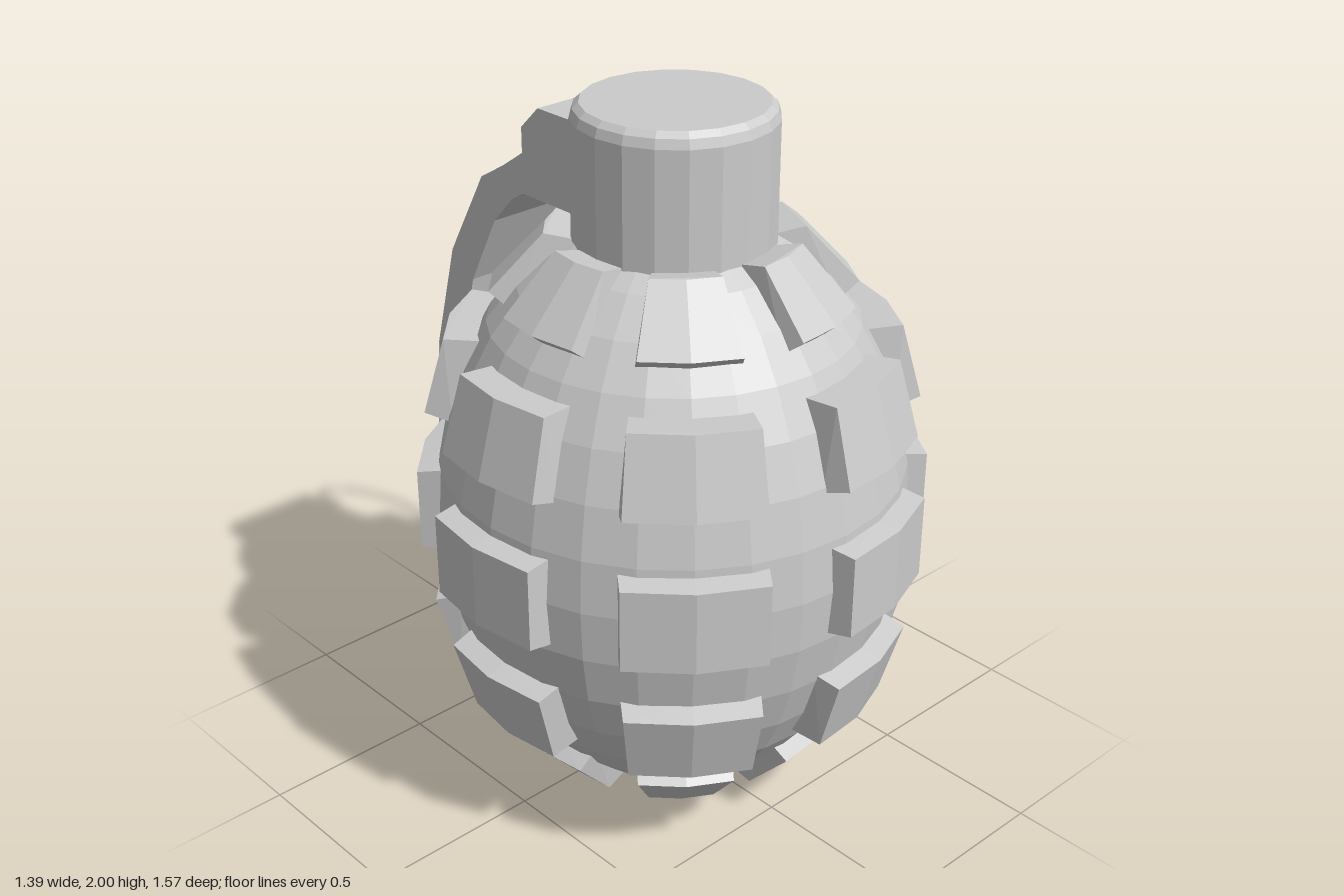
import * as THREE from 'three';
import { ConvexGeometry } from 'three/addons/geometries/ConvexGeometry.js';

const AXIS_Z = 0.083; // the body sits slightly forward of the lever
const MID_Y = 0.86;
const rad = THREE.MathUtils.degToRad;

export function createModel() {
  const model = new THREE.Group();
  model.name = 'grenade';
  const material = new THREE.MeshStandardMaterial({ color: 0xcccccc, flatShading: true });

  const add = (name, geometry, parent = model) => {
    const mesh = new THREE.Mesh(geometry, material);
    mesh.name = name;
    parent.add(mesh);
    return mesh;
  };

  // Egg-shaped body
  const body = add('body', new THREE.SphereGeometry(1, 28, 18).scale(0.65, 0.855, 0.65));
  body.position.set(0, MID_Y, AXIS_Z);

  // Neck with a chamfered cap
  const neckProfile = [[0.27, 1.56], [0.27, 1.96], [0.262, 1.985], [0.245, 2], [0, 2]]
    .map(([r, y]) => new THREE.Vector2(r, y));
  add('neck', new THREE.LatheGeometry(neckProfile, 20)).position.z = AXIS_Z;

  // Raised blocks: [radius, height above the middle] for inner and outer edges
  const middleRow = { inner: [[0.62, -0.13], [0.62, 0.13]], outer: [[0.702, -0.117], [0.702, 0.117]] };
  const wideRow = { inner: [[0.6, 0.275], [0.49, 0.505]], outer: [[0.672, 0.297], [0.612, 0.51]] };
  const endRow = { inner: [[0.435, 0.595], [0.245, 0.775]], outer: [[0.488, 0.64], [0.342, 0.796]] };
  const flip = (row) => ({
    inner: row.inner.map(([r, y]) => [r, -y]),
    outer: row.outer.map(([r, y]) => [r, -y]),
  });

  const blockGeometry = ({ inner, outer }) => {
    const points = [];
    const sweep = (edge, halfAngle) => {
      for (const [r, y] of edge) {
        for (const side of [-1, 0, 1]) {
          const a = rad(side * halfAngle);
          points.push(new THREE.Vector3(-r * Math.cos(a), y, r * Math.sin(a)));
        }
      }
    };
    sweep(inner, 17.8);
    sweep(outer, 15.6);
    return new ConvexGeometry(points);
  };

  const blocks = new THREE.Group();
  blocks.name = 'blocks';
  blocks.position.set(0, MID_Y, AXIS_Z);
  model.add(blocks);
  for (const row of [flip(endRow), flip(wideRow), middleRow, wideRow, endRow]) {
    const geometry = blockGeometry(row);
    for (let i = 0; i < 7; i++) {
      add('block', geometry, blocks).rotation.y = (i * Math.PI * 2) / 7;
    }
  }

  // Safety lever: side outline as [z, y], extruded across x
  const outline = [
    [-0.13, 1.925], [-0.13, 1.67], [-0.34, 1.67], [-0.39, 1.64], [-0.47, 1.555],
    [-0.58, 1.345], [-0.655, 1.06], [-0.677, 0.77], [-0.645, 0.36], [-0.72, 0.34],
    [-0.79, 0.77], [-0.76, 1.09], [-0.67, 1.41], [-0.52, 1.67], [-0.42, 1.73],
    [-0.34, 1.785], [-0.34, 1.857], [-0.27, 1.925],
  ];
  const shape = new THREE.Shape(outline.map(([z, y]) => new THREE.Vector2(-z, y)));
  const leverGeometry = new THREE.ExtrudeGeometry(shape, { depth: 0.326, bevelEnabled: false })
    .translate(0, 0, -0.163)
    .rotateY(Math.PI / 2);
  // Narrow the lower tip
  const p = leverGeometry.attributes.position;
  for (let i = 0; i < p.count; i++) {
    if (p.getY(i) < 0.5) p.setX(i, p.getX(i) * 0.65);
  }
  leverGeometry.computeVertexNormals();
  add('lever', leverGeometry).position.x = 0.005;

  // Pin and its hanging pull ring
  const pin = add('pin', new THREE.CylinderGeometry(0.022, 0.022, 0.16, 8));
  pin.rotation.z = Math.PI / 2;
  pin.position.set(0.162, 1.855, -0.255);

  const ringGeometry = new THREE.TorusGeometry(0.173, 0.011, 6, 18)
    .rotateY(Math.PI / 2)
    .rotateZ(rad(30.5));
  add('pullRing', ringGeometry).position.set(0.297, 1.706, -0.255);

  return model;
}
